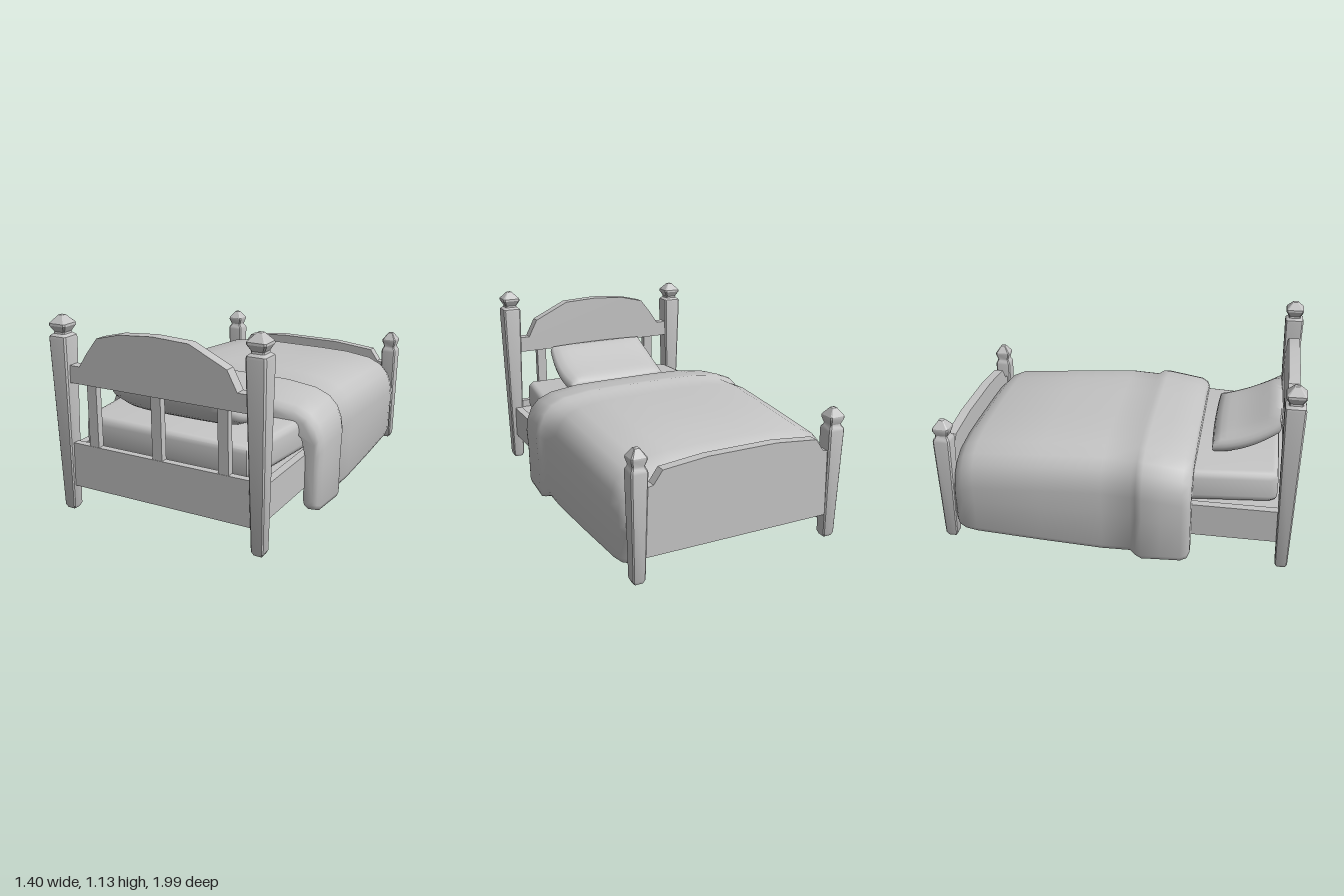
import * as THREE from 'three';
import { toCreasedNormals } from 'three/addons/utils/BufferGeometryUtils.js';

export function createModel() {
  const bed = new THREE.Group();
  bed.name = 'bed';
  const grey = new THREE.MeshStandardMaterial({ color: 0xc4c4c4 });
  grey.name = 'plain grey';

  function add(name, geometry, x = 0, y = 0, z = 0) {
    const mesh = new THREE.Mesh(geometry, grey);
    mesh.name = name;
    mesh.position.set(x, y, z);
    bed.add(mesh);
    return mesh;
  }

  // Square tapered post with chamfered corners and a faceted finial
  function post(name, x, z, top, half) {
    const profile = [
      [0, 0], [0.024, 0], [0.034, 0.02], [half, top - 0.125], [half * 0.95, top - 0.112],
      [0.036, top - 0.1], [0.034, top - 0.09],
      [half * 0.96, top - 0.057], [half * 0.94, top - 0.045], [0.014, top - 0.004], [0, top],
    ].map(([h, y]) => new THREE.Vector2(h, y));
    const geometry = new THREE.LatheGeometry(profile, 8, Math.PI / 8);
    const p = geometry.attributes.position;
    const chamfer = 0.09;
    for (let i = 0; i < p.count; i++) {
      const radius = Math.hypot(p.getX(i), p.getZ(i)) / Math.cos(Math.PI / 4 - chamfer);
      const angle = Math.atan2(p.getZ(i), p.getX(i));
      const diagonal = (Math.floor(angle / (Math.PI / 2)) + 0.5) * (Math.PI / 2);
      const a = diagonal + chamfer * Math.sign(angle - diagonal);
      p.setX(i, radius * Math.cos(a));
      p.setZ(i, radius * Math.sin(a));
    }
    add(name, toCreasedNormals(geometry, 0.5), x, 0, z);
  }
  post('headPostRight', -0.574, 0.939, 1.09, 0.055);
  post('headPostLeft', 0.584, 0.939, 1.13, 0.055);
  post('footPostRight', -0.572, -0.947, 0.745, 0.048);
  post('footPostLeft', 0.577, -0.947, 0.72, 0.046);

  // Flat board cut from an outline
  function board(name, outline, z, thickness) {
    const shape = new THREE.Shape(outline.map(([x, y]) => new THREE.Vector2(x, y)));
    const geometry = new THREE.ExtrudeGeometry(shape, { depth: thickness, bevelEnabled: false });
    geometry.translate(0, 0, -thickness / 2);
    add(name, toCreasedNormals(geometry, 0.4), 0, 0, z);
  }
  board('headboard', [
    [-0.55, 0.73], [0.55, 0.73], [0.55, 0.825], [0.475, 0.825], [0.42, 0.93], [0.21, 1.03],
    [0, 1.04], [-0.2, 1.025], [-0.34, 0.99], [-0.41, 0.9], [-0.46, 0.825], [-0.55, 0.825],
  ], 0.933, 0.062);
  board('footboard', [
    [-0.55, 0.14], [0.55, 0.14], [0.55, 0.51], [0.5, 0.52], [0.45, 0.59], [0.2, 0.615],
    [-0.2, 0.615], [-0.45, 0.59], [-0.5, 0.52], [-0.55, 0.51],
  ], -0.95, 0.055);

  // Frame below the mattress
  add('headRail', new THREE.BoxGeometry(1.1, 0.25, 0.04), 0, 0.265, 0.937);
  for (const side of [-1, 1]) {
    add('sideRail', new THREE.BoxGeometry(0.045, 0.19, 1.84), side * 0.572, 0.255, 0);
  }
  for (const x of [-0.395, 0.003, 0.39]) {
    add('headSlat', new THREE.BoxGeometry(0.058, 0.36, 0.04), x, 0.56, 0.935);
  }
  add('bedBase', new THREE.BoxGeometry(1.12, 0.015, 1.86), 0, 0.338, 0);

  // Mattress: plan outline (x, z) narrowing towards the head, with rounded edges
  const side = [[0.49, -0.86], [0.54, -0.78], [0.565, -0.6], [0.565, 0.34], [0.513, 0.85], [0.485, 0.89]];
  const plan = [...side, ...side.map(([x, z]) => [-x, z]).reverse()];
  const mattress = new THREE.ExtrudeGeometry(
    new THREE.Shape(plan.map(([x, z]) => new THREE.Vector2(x, z))),
    { depth: 0.1, bevelThickness: 0.04, bevelSize: 0.035, bevelOffset: -0.035, bevelSegments: 3 });
  mattress.rotateX(Math.PI / 2);
  add('mattress', toCreasedNormals(mattress, 0.9), 0, 0.49, 0);

  // Pillow: a swollen box with blunt ends, sagging and sheared up against the headboard
  const pillow = new THREE.BoxGeometry(2, 2, 2, 14, 4, 10);
  const pp = pillow.attributes.position;
  for (let i = 0; i < pp.count; i++) {
    const u = pp.getX(i), v = pp.getY(i), w = pp.getZ(i);
    const puff = Math.sqrt((1 - u ** 4) * (1 - w ** 4));
    const rim = 1 - 0.05 * v * v;
    const z = 0.195 * w * rim * (1 - 0.05 * u * u);
    pp.setXYZ(i,
      0.342 * u * rim * (1 - 0.05 * w * w),
      v * (0.036 + 0.028 * puff) + 0.42 * z - 0.025 * (1 - w * w),
      z);
  }
  add('pillow', toCreasedNormals(pillow, 1.2), 0.012, 0.635, 0.703);

  // Blanket: thick draped section lofted along the bed; [z, half width, top, hem]
  const stations = [
    [0.438, 0.655, 0.58, 0.06], [0.425, 0.675, 0.605, 0.035], [0.39, 0.685, 0.625, 0.022],
    [0.28, 0.69, 0.642, 0.02], [0.175, 0.698, 0.656, 0.02], [0.14, 0.685, 0.659, 0.03],
    [0.11, 0.664, 0.644, 0.045], [-0.05, 0.665, 0.652, 0.042], [-0.4, 0.657, 0.63, 0.052],
    [-0.78, 0.645, 0.603, 0.065], [-0.85, 0.632, 0.575, 0.068], [-0.895, 0.613, 0.535, 0.08],
    [-0.912, 0.59, 0.48, 0.11],
  ];
  function section([z, w, t, b]) {
    const outer = [
      [0.25 * w, t], [0.52 * w, t - 0.004], [0.76 * w, t - 0.025], [0.88 * w, t - 0.06],
      [0.95 * w, t - 0.11], [0.985 * w, t - 0.17], [w, t - 0.24], [0.99 * w, (t + b) / 2 - 0.06],
      [0.985 * w, b + 0.03], [0.97 * w, b + 0.004],
    ];
    const inner = [
      [w - 0.06, b], [w - 0.068, b + 0.03], [w - 0.062, t - 0.24],
      [0.87 * w, t - 0.14], [0.75 * w, t - 0.09], [0.25 * w, t - 0.065],
    ];
    const half = [...outer, ...inner];
    const mirrored = half.map(([x, y]) => [-x, y]).reverse();
    return [...half, ...mirrored].map(([x, y]) => [x, y, z]);
  }
  const loops = stations.map(section);
  const n = loops[0].length;
  const index = [];
  for (let s = 0; s < loops.length - 1; s++) {
    for (let i = 0; i < n; i++) {
      const a = s * n + i, b = s * n + (i + 1) % n;
      index.push(a, b, a + n, b, b + n, a + n);
    }
  }
  // Close both ends, facing +z at the head and -z at the foot
  function cap(loop, offset, facing) {
    const flat = loop.map(([x, y]) => new THREE.Vector2(x, y));
    for (const [a, b, c] of THREE.ShapeUtils.triangulateShape(flat, [])) {
      const area = THREE.ShapeUtils.area([flat[a], flat[b], flat[c]]);
      const corners = area * facing > 0 ? [a, b, c] : [a, c, b];
      index.push(...corners.map((k) => k + offset));
    }
  }
  cap(loops[0], 0, 1);
  cap(loops[loops.length - 1], (loops.length - 1) * n, -1);
  const blanket = new THREE.BufferGeometry();
  blanket.setAttribute('position', new THREE.Float32BufferAttribute(loops.flat(2), 3));
  blanket.setIndex(index);
  add('blanket', toCreasedNormals(blanket, 1.2));

  return bed;
}
